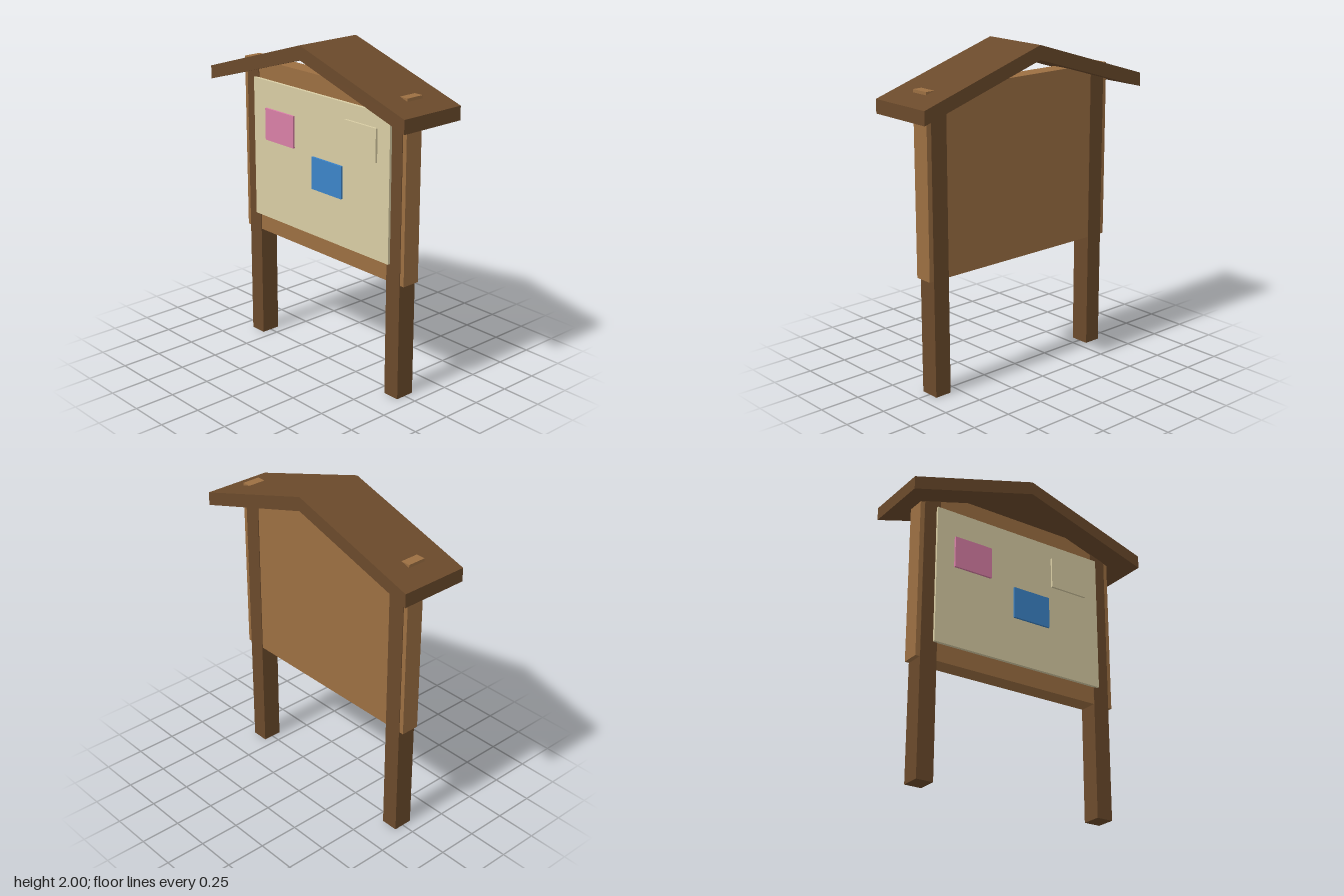
import * as THREE from 'three';

const material = (color) => new THREE.MeshStandardMaterial({ color, flatShading: true });
const darkWood = material(0x6b4a2b);
const lightWood = material(0x9c6f42);
const cork = material(0xd9cda4);

// Box given by its limits along each axis
function box(name, [x0, x1], [y0, y1], [z0, z1], mat) {
  const mesh = new THREE.Mesh(new THREE.BoxGeometry(x1 - x0, y1 - y0, z1 - z0), mat);
  mesh.position.set((x0 + x1) / 2, (y0 + y1) / 2, (z0 + z1) / 2);
  mesh.name = name;
  return mesh;
}

export function createModel() {
  const group = new THREE.Group();
  group.name = 'noticeBoard';

  // Two square posts, running up into the roof
  group.add(box('leftPost', [0.56, 0.667], [0, 1.76], [-0.061, 0.061], darkWood));
  group.add(box('rightPost', [-0.667, -0.56], [0, 1.76], [-0.061, 0.061], darkWood));

  // Thick backing board, whose top corners poke through the roof
  group.add(box('backingBoard', [-0.695, 0.695], [0.713, 1.802], [-0.057, 0.057], lightWood));

  // Pin panel on the front
  group.add(box('pinPanel', [-0.587, 0.587], [0.822, 1.692], [0.05, 0.077], cork));

  // Pinned notices
  const notices = [
    ['pinkNotice', -0.34, 1.425, material(0xd97fa6)],
    ['blueNotice', 0.08, 1.215, material(0x3c84c8)],
    ['creamNotice', 0.362, 1.5, cork],
  ];
  for (const [name, x, y, mat] of notices) {
    group.add(box(name, [x - 0.128, x + 0.128], [y - 0.099, y + 0.099], [0.077, 0.09], mat));
  }

  // Gabled roof: a chevron extruded from back to front
  const chevron = new THREE.Shape([
    [-0.83, 1.66], [0, 1.915], [0.83, 1.66], [0.83, 1.742], [0, 2], [-0.83, 1.742],
  ].map(([x, y]) => new THREE.Vector2(x, y)));
  const roofGeometry = new THREE.ExtrudeGeometry(chevron, { depth: 0.43, bevelEnabled: false });
  roofGeometry.translate(0, 0, -0.215);
  const roof = new THREE.Mesh(roofGeometry, darkWood);
  roof.name = 'roof';
  group.add(roof);

  return group;
}
